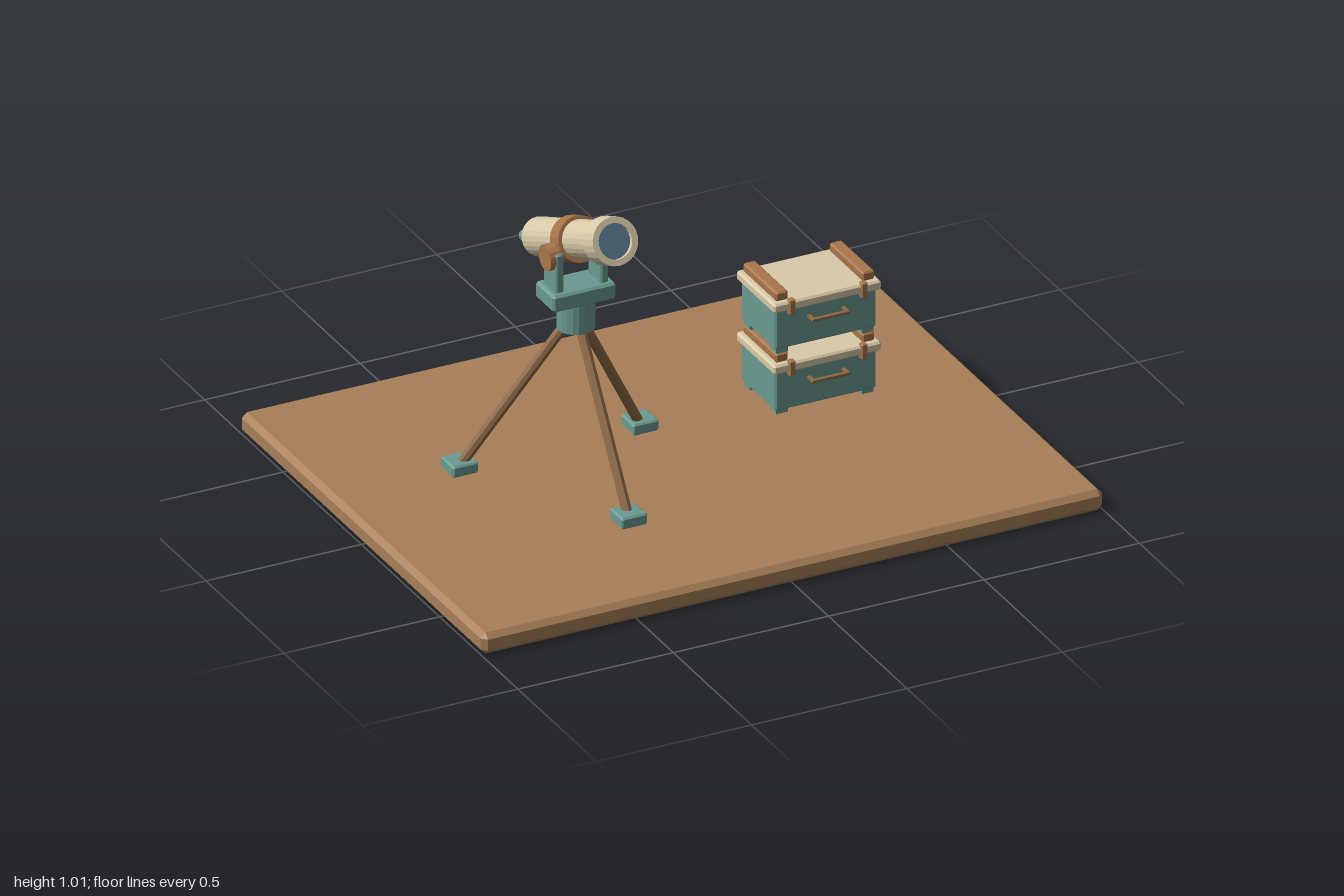
import * as THREE from 'three';
import { ConvexGeometry } from 'three/addons/geometries/ConvexGeometry.js';

const paint = (color) => new THREE.MeshStandardMaterial({ color, flatShading: true });
const wood = paint(0xa87f58), darkWood = paint(0x8f6a47), leather = paint(0xa9754a);
const teal = paint(0x6a9a92), cream = paint(0xd9caa8), glass = paint(0x55788f);

function add(parent, name, geometry, material, x = 0, y = 0, z = 0) {
  const mesh = new THREE.Mesh(geometry, material);
  mesh.name = name;
  mesh.position.set(x, y, z);
  parent.add(mesh);
  return mesh;
}

// Box with every edge chamfered by c
function chamferBox(w, h, d, c) {
  const points = [];
  for (const i of [-1, 1]) for (const j of [-1, 1]) for (const k of [-1, 1]) {
    const x = w / 2, y = h / 2, z = d / 2;
    points.push(
      new THREE.Vector3(i * x, j * (y - c), k * (z - c)),
      new THREE.Vector3(i * (x - c), j * y, k * (z - c)),
      new THREE.Vector3(i * (x - c), j * (y - c), k * z));
  }
  return new ConvexGeometry(points);
}

// Round bar between two points
function bar(parent, name, a, b, radius, material, sides = 8) {
  const dir = b.clone().sub(a);
  const mesh = add(parent, name, new THREE.CylinderGeometry(radius, radius, dir.length(), sides), material);
  mesh.position.copy(a).add(b).multiplyScalar(0.5);
  mesh.quaternion.setFromUnitVectors(new THREE.Vector3(0, 1, 0), dir.normalize());
  return mesh;
}

const lathe = (pairs, sides = 24) =>
  new THREE.LatheGeometry(pairs.map(([r, y]) => new THREE.Vector2(r, y)), sides);

// Tripod with three splayed legs and a fork on top
function makeTripod() {
  const g = new THREE.Group();
  g.name = 'tripod';
  for (let i = 0; i < 3; i++) {
    const a = i * Math.PI * 2 / 3;
    const at = (r, y) => new THREE.Vector3(Math.sin(a) * r, y, Math.cos(a) * r);
    bar(g, 'leg', at(0.015, 0.575), at(0.33, 0.09), 0.016, darkWood);
    const p = at(0.335, 0.086);
    add(g, 'foot', chamferBox(0.082, 0.036, 0.082, 0.005), teal, p.x, p.y, p.z);
  }
  add(g, 'hub', new THREE.CylinderGeometry(0.057, 0.057, 0.095, 20), teal, 0, 0.593, 0);
  add(g, 'forkBase', chamferBox(0.204, 0.054, 0.117, 0.007), teal, 0, 0.663, 0);
  for (const s of [-1, 1]) {
    add(g, 'forkArm', chamferBox(0.026, 0.13, 0.083, 0.005), teal, s * 0.072, 0.747, 0);
    const knob = add(g, 'pivotKnob', new THREE.CylinderGeometry(0.04, 0.04, 0.04, 16), leather, s * 0.08, 0.79, 0);
    knob.rotation.z = Math.PI / 2;
  }
  return g;
}

// Telescope built along y, then tipped towards the front
function makeTelescope() {
  const g = new THREE.Group();
  g.name = 'telescope';
  add(g, 'tube', lathe([[0, -0.252], [0.058, -0.252], [0.058, 0.22]]), cream);
  add(g, 'frontHood', lathe([
    [0.056, 0.205], [0.072, 0.205], [0.072, 0.275], [0.053, 0.275], [0.053, 0.25],
  ]), cream);
  add(g, 'lens', new THREE.CylinderGeometry(0.053, 0.053, 0.02, 24), glass, 0, 0.25, 0);
  add(g, 'strap', lathe([[0.056, -0.03], [0.069, -0.03], [0.069, 0.03], [0.056, 0.03]]), leather);
  add(g, 'eyepiece', new THREE.CylinderGeometry(0.018, 0.018, 0.12, 14), teal, 0, -0.3, 0);
  g.position.y = 0.829;
  g.rotation.x = 1.159;
  return g;
}

// Storage crate, base at y = 0
function makeCrate() {
  const g = new THREE.Group();
  g.name = 'crate';
  add(g, 'body', chamferBox(0.326, 0.13, 0.218, 0.006), teal, 0, 0.078, 0);
  add(g, 'lid', chamferBox(0.346, 0.03, 0.245, 0.006), cream, 0, 0.153, 0);
  for (const s of [-1, 1]) {
    add(g, 'lidSlat', chamferBox(0.04, 0.03, 0.212, 0.005), leather, s * 0.139, 0.182, 0);
    add(g, 'latch', chamferBox(0.02, 0.05, 0.022, 0.003), leather, s * 0.116, 0.15, 0.118);
    for (const t of [-1, 1])
      add(g, 'crateFoot', new THREE.BoxGeometry(0.038, 0.018, 0.04), teal, s * 0.138, 0.007, t * 0.083);
    add(g, 'handlePost', new THREE.BoxGeometry(0.01, 0.009, 0.032), darkWood, s * 0.055, 0.101, 0.122);
  }
  add(g, 'handleGrip', chamferBox(0.122, 0.01, 0.012, 0.002), darkWood, 0, 0.101, 0.138);
  return g;
}

export function createModel() {
  const model = new THREE.Group();
  model.name = 'observationDeck';
  add(model, 'platform', chamferBox(2, 0.068, 1.556, 0.016), wood, 0, 0.034, 0);

  const stand = new THREE.Group();
  stand.name = 'telescopeStand';
  stand.add(makeTripod(), makeTelescope());
  stand.position.x = -0.309;
  model.add(stand);

  // Two stacked crates
  for (let i = 0; i < 2; i++) {
    const crate = makeCrate();
    crate.position.set(0.525, 0.067 + i * 0.199, -0.168);
    model.add(crate);
  }
  return model;
}
